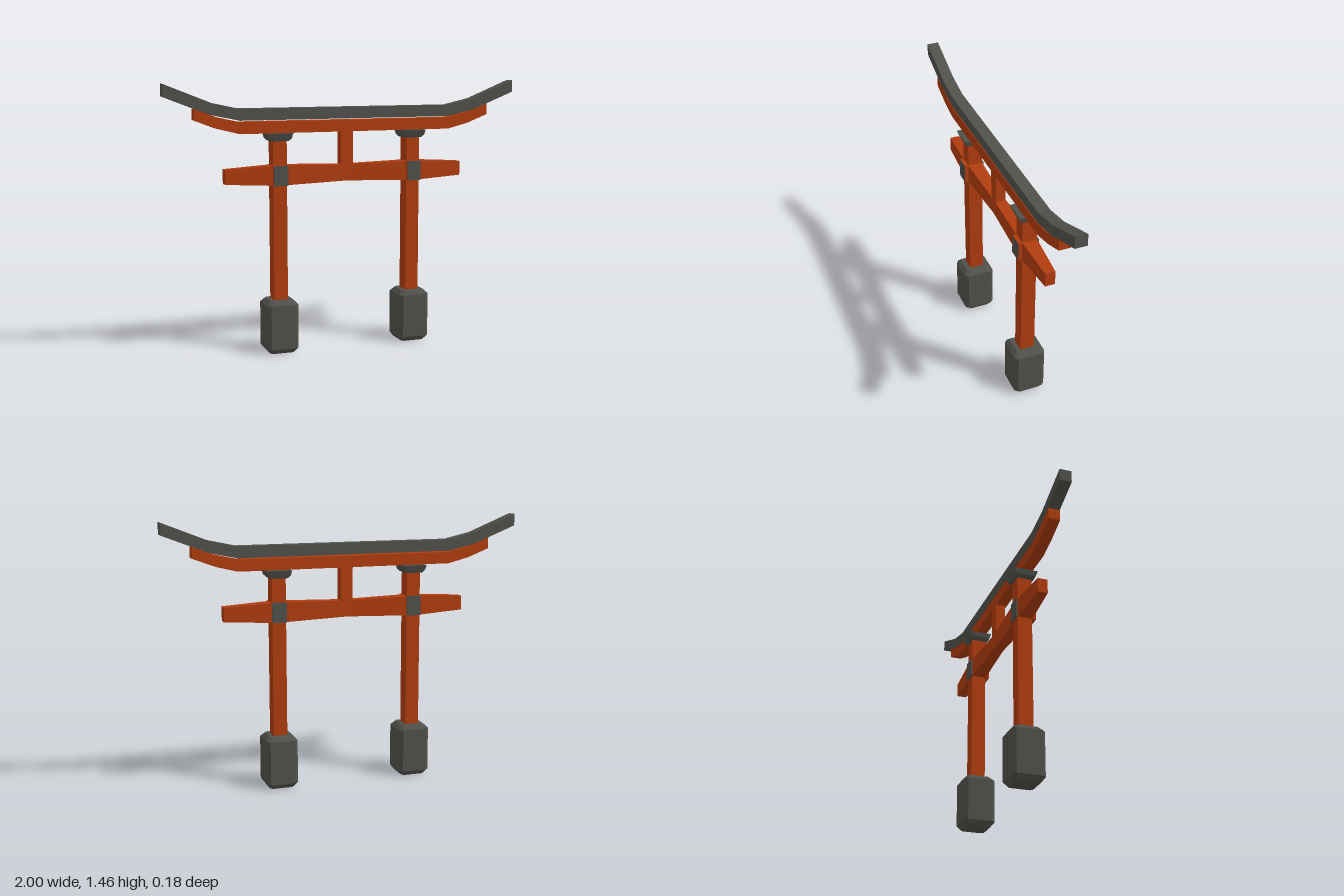
import * as THREE from 'three';

// Solid skin through matching rings of points, faceted, capped at both ends.
// Rings run counter-clockwise as seen from the end the loft grows towards.
function loft(rings) {
  const pos = [];
  const tri = (a, b, c) => pos.push(...a, ...b, ...c);
  const n = rings[0].length;
  for (let i = 0; i < rings.length - 1; i++) {
    for (let j = 0; j < n; j++) {
      const k = (j + 1) % n;
      const [a, b, c, d] = [rings[i][j], rings[i][k], rings[i + 1][k], rings[i + 1][j]];
      tri(a, b, c);
      tri(a, c, d);
    }
  }
  const first = rings[0], last = rings[rings.length - 1];
  for (let j = 1; j < n - 1; j++) {
    tri(first[0], first[j + 1], first[j]);
    tri(last[0], last[j], last[j + 1]);
  }
  const geo = new THREE.BufferGeometry();
  geo.setAttribute('position', new THREE.Float32BufferAttribute(pos, 3));
  geo.computeVertexNormals();
  return geo;
}

// Mirrored beam along x; stations from the middle out: [x, yBottom, yTop, zBack, zFront]
function beam(half) {
  const left = half.filter(s => s[0] > 0).reverse().map(([x, ...r]) => [-x, ...r]);
  return loft([...left, ...half].map(([x, y0, y1, z0, z1]) =>
    [[x, y0, z1], [x, y0, z0], [x, y1, z0], [x, y1, z1]]));
}

// Upright block with cut corners; levels: [y, halfX, halfZ, corner]
function block(levels) {
  return loft(levels.map(([y, w, d, c]) => [
    [w - c, y, d], [w, y, d - c], [w, y, c - d], [w - c, y, -d],
    [c - w, y, -d], [-w, y, c - d], [-w, y, d - c], [c - w, y, d],
  ]));
}

export function createModel() {
  const red = new THREE.MeshStandardMaterial({ color: 0xb03c0f });
  red.name = 'vermilion';
  const grey = new THREE.MeshStandardMaterial({ color: 0x50514b });
  grey.name = 'dark grey';

  const gate = new THREE.Group();
  gate.name = 'gate';
  const add = (parent, name, geo, mat, x = 0, y = 0, z = 0) => {
    const mesh = new THREE.Mesh(geo, mat);
    mesh.name = name;
    mesh.position.set(x, y, z);
    parent.add(mesh);
  };

  // Upswept top lintel and the red lintel beneath it
  const zb = -0.026, zf = 0.038;
  add(gate, 'topLintel', beam([
    [0.6, 1.26, 1.322, zb, zf], [0.75, 1.292, 1.355, zb, zf], [1, 1.39, 1.455, zb, zf],
  ]), grey);
  add(gate, 'lowerLintel', beam([
    [0.6, 1.19, 1.253, zb, zf], [0.72, 1.22, 1.28, zb, zf], [0.84, 1.266, 1.325, zb, zf],
  ]), red);

  // Tie beam, thickest where it meets the posts
  add(gate, 'tieBeam', beam([
    [0, 0.922, 1.01, -0.029, 0.029], [0.345, 0.912, 1.018, -0.041, 0.041],
    [0.425, 0.912, 1.018, -0.041, 0.041], [0.68, 0.926, 1.004, -0.027, 0.027],
  ]), red);
  add(gate, 'centreStrut', new THREE.BoxGeometry(0.068, 0.2, 0.054), red, 0, 1.1, 0);

  const baseGeo = block([
    [0, 0.067, 0.068, 0.014], [0.026, 0.087, 0.088, 0.018],
    [0.266, 0.087, 0.088, 0.018], [0.29, 0.064, 0.065, 0.014],
  ]);
  const capGeo = block([
    [1.148, 0.046, 0.05, 0], [1.162, 0.061, 0.056, 0], [1.19, 0.067, 0.066, 0],
  ]);

  // The two posts with their footings, capitals and joint plates
  for (const side of [1, -1]) {
    const post = new THREE.Group();
    post.name = side > 0 ? 'leftPost' : 'rightPost';
    post.position.x = side * 0.384;
    add(post, 'footing', baseGeo, grey);
    add(post, 'shaft', new THREE.BoxGeometry(0.076, 0.88, 0.08), red, 0, 0.72, 0);
    add(post, 'capital', capGeo, grey);
    // Red front boss with a grey face, thin grey plate at the back
    add(post, 'frontBoss', new THREE.BoxGeometry(0.08, 0.108, 0.03),
      [red, red, red, red, grey, red], 0, 0.965, 0.047);
    add(post, 'backPlate', new THREE.BoxGeometry(0.08, 0.108, 0.009), grey, 0, 0.965, -0.0455);
    gate.add(post);
  }
  return gate;
}
